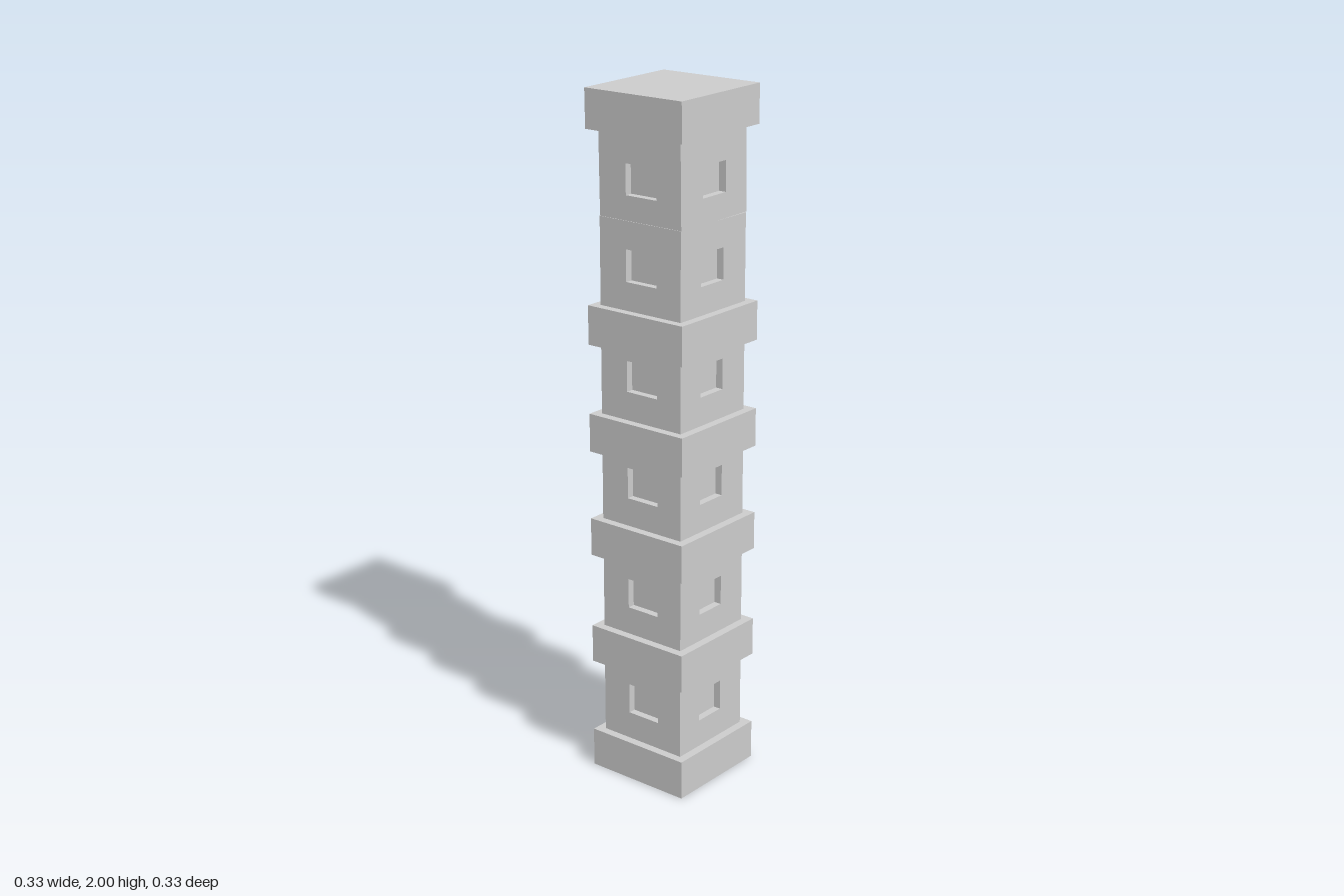
import * as THREE from 'three';

const material = new THREE.MeshStandardMaterial({ color: 0xcccccc, flatShading: true });
const HALF = 0.14;        // shaft half width
const LEDGE = 0.329;      // ledge width
const RECESS = 0.022;     // window depth

// Each storey: ledge bottom, ledge top, shaft top, window bottom, window top
const STOREYS = [
  [0, 0.115, 0.335, 0.196, 0.286],
  [0.335, 0.447, 0.667, 0.528, 0.615],
  [0.667, 0.778, 0.979, 0.86, 0.95],
  [0.979, 1.09, 1.29, 1.172, 1.26],
  [1.29, 1.402, 1.65, 1.482, 1.572],
];

function addBox(group, name, width, y0, y1) {
  const mesh = new THREE.Mesh(new THREE.BoxGeometry(width, y1 - y0, width), material);
  mesh.name = name;
  mesh.position.y = (y0 + y1) / 2;
  group.add(mesh);
}

// Wall panel pierced by one window
function addWall(group, name, half, y0, y1, window, angle) {
  const { x, w, bottom, top } = window;
  const shape = new THREE.Shape([[-half, y0], [half, y0], [half, y1], [-half, y1]]
    .map(([px, py]) => new THREE.Vector2(px, py)));
  shape.holes.push(new THREE.Path([[x - w, bottom], [x - w, top], [x + w, top], [x + w, bottom]]
    .map(([px, py]) => new THREE.Vector2(px, py))));
  const geometry = new THREE.ExtrudeGeometry(shape, { depth: RECESS, bevelEnabled: false });
  geometry.translate(0, 0, HALF - RECESS);
  const mesh = new THREE.Mesh(geometry, material);
  mesh.name = name;
  mesh.rotation.y = angle;
  group.add(mesh);
}

// Four walls around a solid core that closes the window recesses
function addShaft(group, y0, y1, bottom, top, offsetX, offsetZ) {
  const inner = HALF - RECESS;
  const front = (x) => ({ x, w: 0.053, bottom, top });
  const side = (x) => ({ x, w: 0.049, bottom, top });
  addBox(group, 'shaftCore', inner * 2, y0, y1);
  addWall(group, 'frontWall', HALF, y0, y1, front(offsetX), 0);
  addWall(group, 'backWall', HALF, y0, y1, front(-offsetX), Math.PI);
  addWall(group, 'leftWall', inner, y0, y1, side(-offsetZ), Math.PI / 2);
  addWall(group, 'rightWall', inner, y0, y1, side(offsetZ), -Math.PI / 2);
}

export function createModel() {
  const tower = new THREE.Group();
  tower.name = 'tower';

  // Stacked storeys, each a ledge with a windowed shaft above
  STOREYS.forEach(([ledge0, ledge1, shaftTop, bottom, top], i) => {
    const storey = new THREE.Group();
    storey.name = `storey${i + 1}`;
    addBox(storey, 'ledge', LEDGE, ledge0, ledge1);
    addShaft(storey, ledge1, shaftTop, bottom, top, 0.005, 0.006);
    tower.add(storey);
  });

  // Top storey leans very slightly forward and carries the cap
  const crown = new THREE.Group();
  crown.name = 'topStorey';
  crown.position.y = 1.65;
  crown.rotation.x = 0.014;
  addShaft(crown, 0, 0.24, 0.071, 0.157, 0.005, 0);
  addBox(crown, 'cap', LEDGE, 0.238, 0.348);
  crown.children.forEach((mesh) => { mesh.position.z -= 0.002; });
  tower.add(crown);

  return tower;
}
